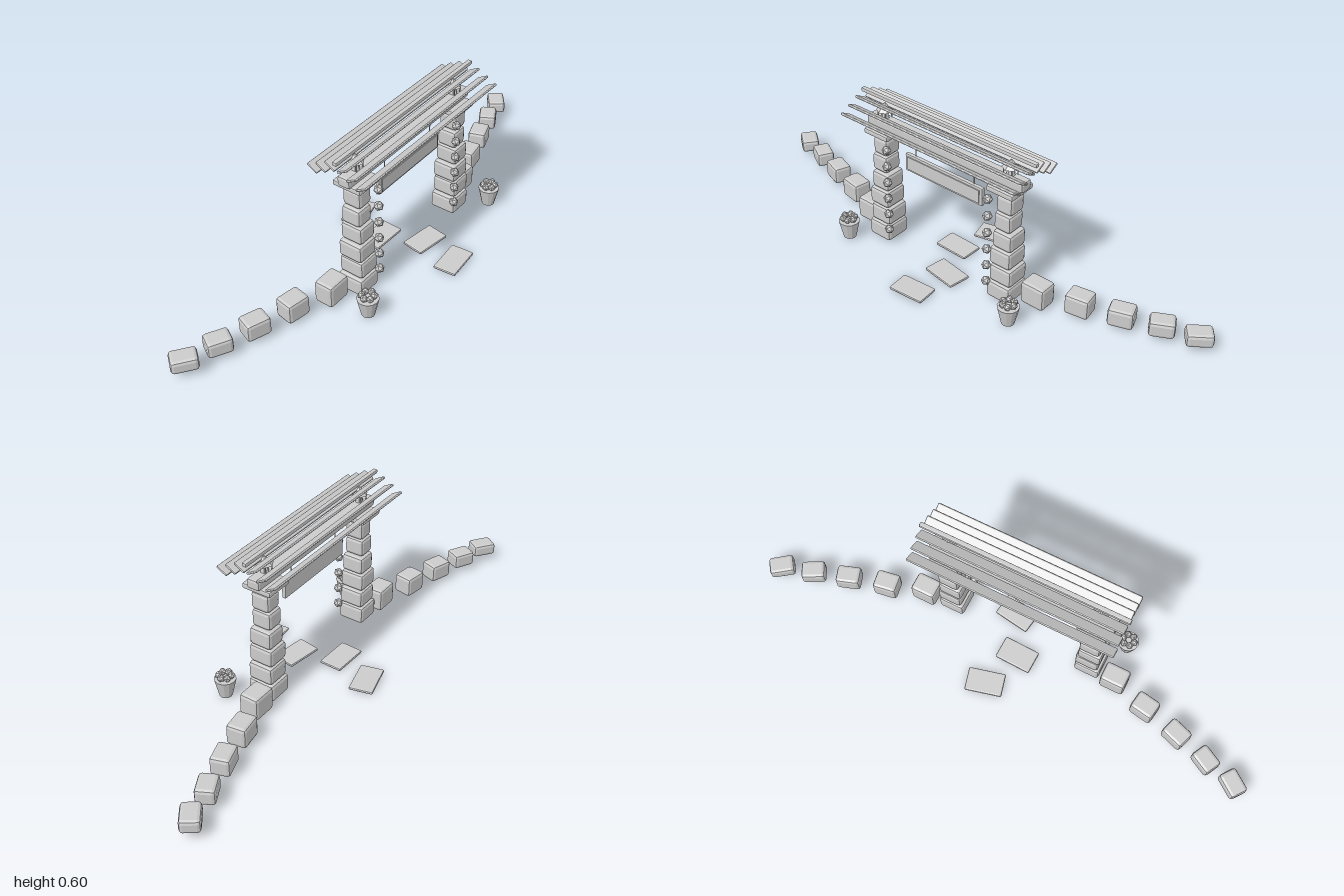
import * as THREE from 'three';
import { RoundedBoxGeometry } from 'three/addons/geometries/RoundedBoxGeometry.js';

const material = new THREE.MeshStandardMaterial({ color: 0xcccccc, flatShading: true });
const AXIS_Z = 0.03; // depth of the gate's centre plane

function add(parent, name, geometry, x, y, z, rotY = 0) {
  const mesh = new THREE.Mesh(geometry, material);
  mesh.name = name;
  mesh.position.set(x, y, z);
  mesh.rotation.y = rotY;
  parent.add(mesh);
  return mesh;
}

const block = (w, h, d, r = 0.012) => new RoundedBoxGeometry(w, h, d, 1, r);

function group(parent, name) {
  const g = new THREE.Group();
  g.name = name;
  parent.add(g);
  return g;
}

// Stacked pillar with cap slab and small studs on its inner front corner
function addPillar(parent, side) {
  const pillar = group(parent, side > 0 ? 'leftPillar' : 'rightPillar');
  const widths = [0.1, 0.092, 0.09, 0.08, 0.07, 0.066];
  const depths = [0.105, 0.098, 0.096, 0.088, 0.077, 0.073];
  widths.forEach((w, i) => {
    const y = 0.04 + i * 0.073;
    const shift = i % 2 ? 0.003 : -0.002;
    add(pillar, 'pillarStone', block(w, 0.069, depths[i]), side * 0.285 + shift, y, AXIS_Z);
    add(pillar, 'vineLeaf', new THREE.IcosahedronGeometry(0.018, 0), side * 0.233, 0.07 + i * 0.0697, 0.083);
  });
  add(pillar, 'pillarCap', block(0.112, 0.021, 0.115, 0.006), side * 0.282, 0.4635, AXIS_Z);
}

// Little lantern standing on the beam
function addLantern(parent, side) {
  const lantern = group(parent, 'lantern');
  lantern.position.set(side * 0.285, 0.512, AXIS_Z);
  add(lantern, 'lanternCore', new THREE.CylinderGeometry(0.01, 0.016, 0.024, 6), 0, 0.012, 0);
  for (const x of [-1, 1]) for (const z of [-1, 1])
    add(lantern, 'lanternPost', new THREE.BoxGeometry(0.003, 0.034, 0.003), x * 0.017, 0.016, z * 0.017);
  add(lantern, 'lanternRoof', new THREE.ConeGeometry(0.032, 0.031, 6), 0, 0.046, 0);
}

// Curving row of wall stones, shrinking outward: x, z, width, height, depth, turn
function addWall(parent, side) {
  const wall = group(parent, side > 0 ? 'leftWall' : 'rightWall');
  const stones = [
    [0.397, -0.002, 0.097, 0.09, 0.077, 0],
    [0.542, -0.053, 0.092, 0.08, 0.076, 0.16],
    [0.687, -0.094, 0.092, 0.07, 0.072, 0.33],
    [0.82, -0.135, 0.09, 0.06, 0.07, 0.49],
    [0.941, -0.17, 0.094, 0.05, 0.07, 0.64],
  ];
  for (const [x, z, w, h, d, turn] of stones)
    add(wall, 'wallStone', block(w, h, d), side * x, 0.053, z, side * turn);
}

// Tapered pot with a ring of small buds
function addPot(parent, side) {
  const pot = group(parent, 'pottedPlant');
  pot.position.set(side * 0.383, 0, 0.146);
  add(pot, 'pot', new THREE.CylinderGeometry(0.04, 0.024, 0.072, 12), 0, 0.04, 0);
  for (let i = 0; i < 6; i++) {
    const a = (i / 6) * Math.PI * 2;
    add(pot, 'bud', new THREE.IcosahedronGeometry(0.014, 0), Math.cos(a) * 0.022, 0.089, Math.sin(a) * 0.022, a);
  }
}

export function createModel() {
  const model = new THREE.Group();
  model.name = 'stoneGate';

  for (const side of [-1, 1]) {
    addPillar(model, side);
    addLantern(model, side);
    addWall(model, side);
    addPot(model, side);
  }

  // Lintel
  add(model, 'beam', block(0.705, 0.038, 0.05, 0.008), 0, 0.493, AXIS_Z);

  // Roof: ridge pole and tilted slats stepping down on both sides
  const roof = group(model, 'roof');
  add(roof, 'ridge', block(0.785, 0.015, 0.018, 0.004), 0, 0.591, AXIS_Z);
  for (const side of [-1, 1]) {
    for (let i = 0; i < 3; i++) {
      const slat = add(roof, 'roofSlat', block(0.775, 0.01, 0.047, 0.0045),
        0, 0.569 - i * 0.0195, AXIS_Z + side * (0.025 + i * 0.037));
      slat.rotation.x = -side * 0.51;
    }
  }

  // Hanging board with raised panel
  const sign = group(model, 'hangingBoard');
  add(sign, 'board', block(0.355, 0.072, 0.016, 0.004), 0, 0.376, 0.036);
  add(sign, 'boardPanel', new THREE.BoxGeometry(0.33, 0.052, 0.006), 0, 0.376, 0.0445);
  for (const side of [-1, 1])
    add(sign, 'hanger', new THREE.CylinderGeometry(0.002, 0.002, 0.07, 6), side * 0.134, 0.442, 0.034);

  // Stepping stones through the gate: x, z, turn
  const steps = [[0.016, 0.23, 0.08], [0.05, 0.08, -0.15], [-0.025, -0.07, -0.03], [0.035, -0.22, 0.25]];
  for (const [x, z, turn] of steps)
    add(model, 'steppingStone', block(0.142, 0.012, 0.09, 0.0055), x, 0.006, z, turn);

  return model;
}
